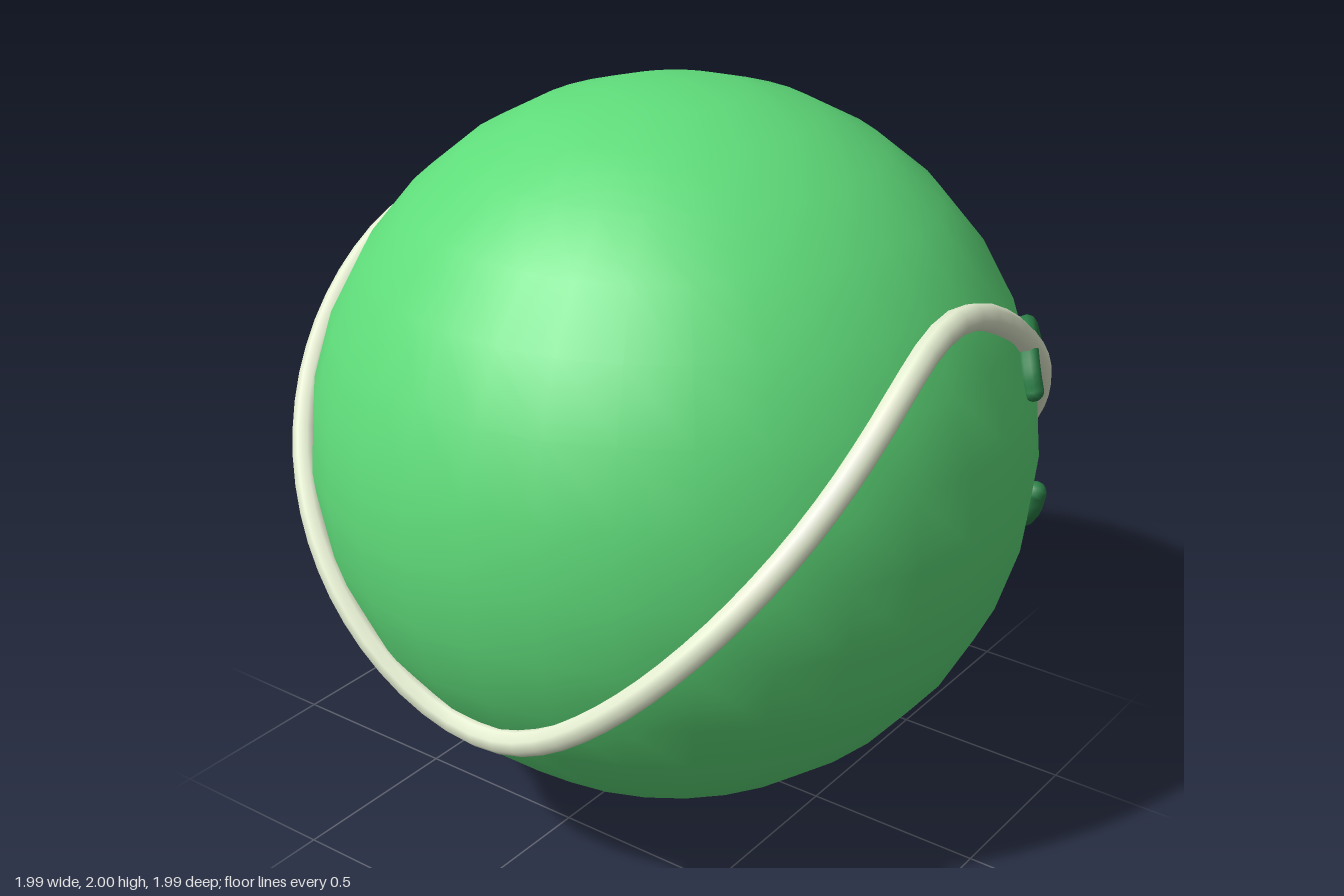
import * as THREE from 'three';

const deg = Math.PI / 180;

// Point on a shell around the ball: azimuth from +z towards +x, height from the centre
function onBall(azimuth, height, radius) {
  const r = Math.sqrt(radius * radius - height * height);
  return new THREE.Vector3(r * Math.sin(azimuth), height, r * Math.cos(azimuth));
}

// Half-ellipse stroke lying on the ball, with rounded ends
function strokeOnBall(name, { azimuth, height, halfAngle, rise, tilt, thickness }, material) {
  const group = new THREE.Group();
  group.name = name;
  const points = [];
  for (let i = 0; i <= 8; i++) {
    const t = (i / 8) * Math.PI;
    const across = -Math.cos(t);
    points.push(onBall((azimuth + halfAngle * across) * deg, height + rise * Math.sin(t) + tilt * across, 1.01));
  }
  const curve = new THREE.CatmullRomCurve3(points);
  const line = new THREE.Mesh(new THREE.TubeGeometry(curve, 24, thickness, 10), material);
  line.name = name + 'Line';
  group.add(line);
  for (const end of [points[0], points[8]]) {
    const cap = new THREE.Mesh(new THREE.SphereGeometry(thickness, 10, 8), material);
    cap.name = name + 'End';
    cap.position.copy(end);
    group.add(cap);
  }
  return group;
}

export function createModel() {
  const model = new THREE.Group();
  model.name = 'smilingBall';
  const green = new THREE.MeshStandardMaterial({ color: 0x5fdc7a });
  const cream = new THREE.MeshStandardMaterial({ color: 0xe6efd2 });
  const darkGreen = new THREE.MeshStandardMaterial({ color: 0x2c8048 });

  // Ball
  const ball = new THREE.Mesh(new THREE.SphereGeometry(1, 32, 16), green);
  ball.name = 'ball';
  ball.rotation.y = Math.PI / 32;
  model.add(ball);

  // Wavy seam: high at front and back, low at both sides
  const seamPoints = [];
  for (let i = 0; i < 48; i++) {
    const a = (i / 48) * Math.PI * 2 + 135 * deg;
    seamPoints.push(onBall(a, 0.535 * Math.cos(2 * a), 1.012));
  }
  const seamCurve = new THREE.CatmullRomCurve3(seamPoints, true);
  const seam = new THREE.Mesh(new THREE.TubeGeometry(seamCurve, 96, 0.036, 8, true), cream);
  seam.name = 'seam';
  model.add(seam);

  // Face, centred between the front and the left side
  for (const side of [-1, 1]) {
    model.add(strokeOnBall(side > 0 ? 'leftEye' : 'rightEye', {
      azimuth: 45 + side * 17.4, height: 0.268, halfAngle: 8, rise: 0.095,
      tilt: -side * 0.015, thickness: 0.028,
    }, darkGreen));
  }
  model.add(strokeOnBall('mouth', {
    azimuth: 45, height: -0.135, halfAngle: 14, rise: -0.152, tilt: 0, thickness: 0.032,
  }, darkGreen));

  model.position.y = 1;
  const root = new THREE.Group();
  root.add(model);
  return root;
}
